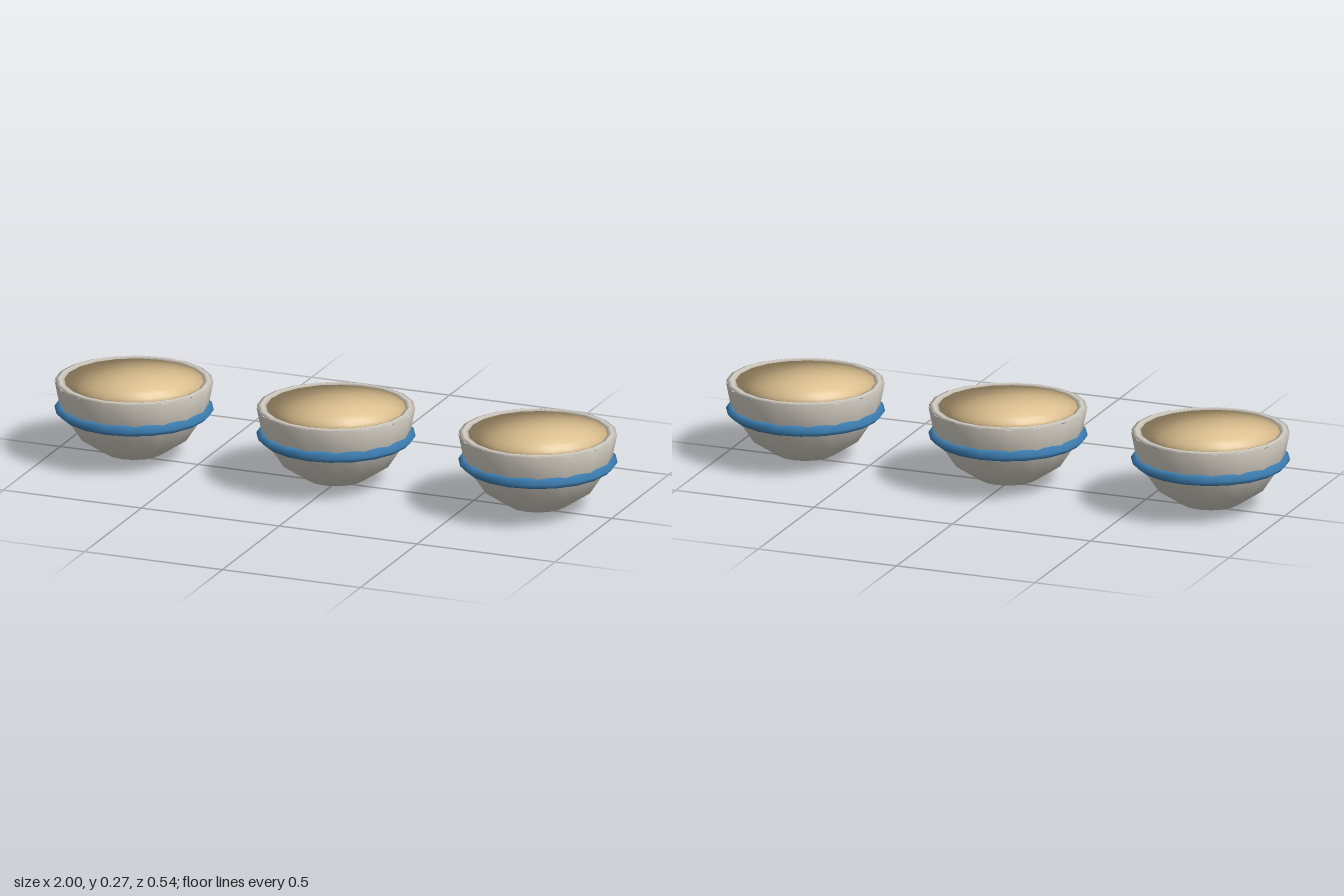
import * as THREE from 'three';

const shellMat = new THREE.MeshStandardMaterial({ color: 0xd8d3c8 });
shellMat.name = 'offWhiteShell';
const bandMat = new THREE.MeshStandardMaterial({ color: 0x4084ba });
bandMat.name = 'blueBand';
const headMat = new THREE.MeshStandardMaterial({ color: 0xdcc090 });
headMat.name = 'tanHead';

const R = 0.267; // bowl radius, also the height of its open edge

function part(name, geometry, material, y = 0) {
  const mesh = new THREE.Mesh(geometry, material);
  mesh.name = name;
  mesh.position.y = y;
  return mesh;
}

// Softly rounded skin: a hemisphere pressed almost flat that keeps its domed smooth normals
function headGeometry() {
  const g = new THREE.SphereGeometry(0.237, 20, 6, 0, Math.PI * 2, 0, Math.PI / 2);
  const p = g.attributes.position;
  for (let i = 0; i < p.count; i++) p.setY(i, p.getY(i) * 0.015);
  return g;
}

function createBowl() {
  const bowl = new THREE.Group();

  // Half-round shell
  const shell = new THREE.SphereGeometry(R, 16, 4, 0, Math.PI * 2, Math.PI / 2, Math.PI / 2);
  bowl.add(part('shell', shell, shellMat, R));

  // Low rounded lip around the opening
  const lip = [[0.25, 0.262], [0.266, 0.267], [0.25, 0.272], [0.234, 0.267], [0.25, 0.262]]
    .map(([x, y]) => new THREE.Vector2(x, y));
  bowl.add(part('rim', new THREE.LatheGeometry(lip, 20), shellMat));

  // Band around the outside
  const band = new THREE.TorusGeometry(0.249, 0.019, 4, 20).rotateX(Math.PI / 2);
  bowl.add(part('band', band, bandMat, 0.171));

  // Skin closing the opening
  bowl.add(part('head', headGeometry(), headMat, 0.267));
  return bowl;
}

export function createModel() {
  const model = new THREE.Group();
  model.name = 'bowlRow';
  ['rightBowl', 'middleBowl', 'leftBowl'].forEach((name, i) => {
    const bowl = createBowl();
    bowl.name = name;
    bowl.position.x = (i - 1) * 0.732;
    model.add(bowl);
  });
  return model;
}
